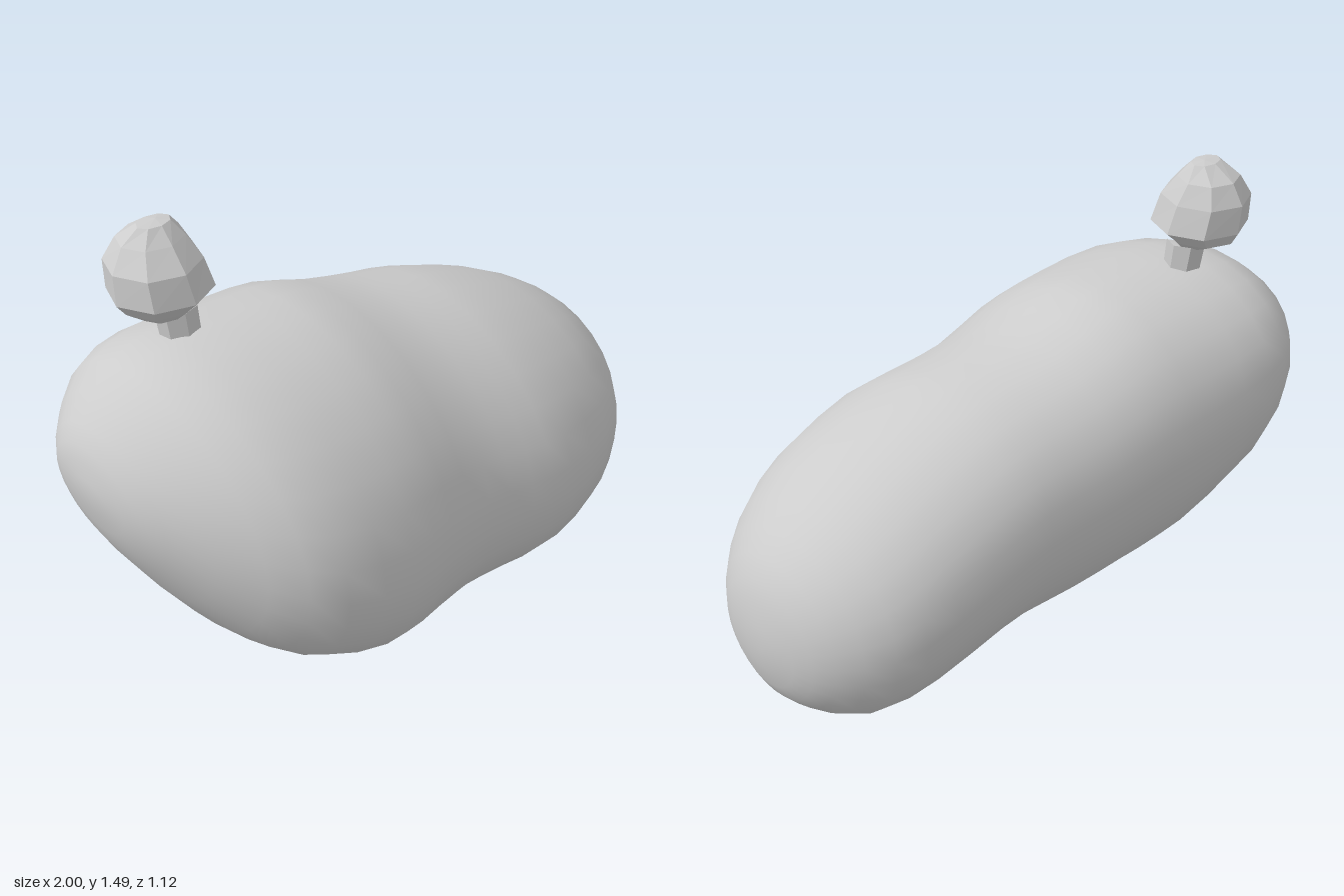
import * as THREE from 'three';
import { mergeVertices } from 'three/addons/utils/BufferGeometryUtils.js';

// Skins leaning elliptical sections. Each station: [a, bMin, bMax, cMin, cMax],
// where a runs along the axis and (a, b, c) is mapped to (x, y, z) by place().
function loft(stations, sides, rows, lean, place) {
  const curves = [1, 3].map((k) => new THREE.CatmullRomCurve3(
    stations.map((s) => new THREE.Vector3(s[0], s[k], s[k + 1])), false, 'catmullrom', 0.5));
  const position = [], index = [];
  for (let i = 0; i <= rows; i++) {
    const [b, c] = curves.map((curve) => curve.getPoint(i / rows));
    for (let j = 0; j < sides; j++) {
      const t = (j / sides) * Math.PI * 2;
      position.push(...place(
        b.x,
        (b.y + b.z) / 2 + ((b.z - b.y) / 2) * Math.sin(t - lean(i / rows)),
        (c.y + c.z) / 2 + ((c.z - c.y) / 2) * Math.cos(t)));
      if (i === rows) continue;
      const p = i * sides + j, q = i * sides + ((j + 1) % sides);
      index.push(p, p + sides, q, q, p + sides, q + sides);
    }
  }
  const geometry = new THREE.BufferGeometry();
  geometry.setAttribute('position', new THREE.Float32BufferAttribute(position, 3));
  geometry.setIndex(index);
  const merged = mergeVertices(geometry, 1e-5);
  merged.computeVertexNormals();
  return merged;
}

// Splits the faces so that each one is flat.
function faceted(geometry) {
  const flat = geometry.toNonIndexed();
  flat.computeVertexNormals();
  return flat;
}

export function createModel() {
  const group = new THREE.Group();
  const grey = new THREE.MeshStandardMaterial({ color: 0xcccccc });
  grey.name = 'grey';
  const add = (name, geometry) => {
    const mesh = new THREE.Mesh(geometry, grey);
    mesh.name = name;
    group.add(mesh);
  };

  // Lumpy two-lobed body: [x, bottom, top, back, front]
  const body = [
    [-1, 0.79, 0.79, -0.15, -0.15],
    [-0.985, 0.68, 0.88, -0.29, -0.02],
    [-0.94, 0.56, 0.97, -0.38, 0.11],
    [-0.8, 0.33, 1.1, -0.51, 0.36],
    [-0.63, 0.17, 1.145, -0.565, 0.505],
    [-0.38, 0.04, 1.145, -0.55, 0.535],
    [-0.2, 0.018, 1.13, -0.525, 0.52],
    [0, 0.018, 1.06, -0.495, 0.505],
    [0.18, 0.015, 1.02, -0.465, 0.53],
    [0.35, 0.008, 0.985, -0.445, 0.555],
    [0.6, 0, 0.89, -0.415, 0.51],
    [0.79, 0.035, 0.78, -0.36, 0.415],
    [0.92, 0.13, 0.66, -0.245, 0.29],
    [0.98, 0.23, 0.53, -0.12, 0.17],
    [1, 0.38, 0.38, 0.01, 0.01],
  ];
  // The lean fades out towards the lower end
  const bodyLean = (u) => 0.22 - 0.15 * THREE.MathUtils.smoothstep(u, 0.6, 0.8);
  add('body', loft(body, 28, 28, bodyLean, (x, y, z) => [x, y, z]));

  // Short stalk and faceted bud: [y, back, front, right, left]
  // (y, z, x) is a cyclic order, so the faces keep pointing outwards
  const upright = (y, z, x) => [x, y, z];
  const none = () => 0;
  const stalk = [
    [1.08, -0.25, -0.135, -0.65, -0.53],
    [1.22, -0.265, -0.14, -0.665, -0.535],
  ];
  add('stalk', faceted(loft(stalk, 7, 1, none, upright)));

  const bud = [
    [1.195, -0.21, -0.21, -0.63, -0.63],
    [1.205, -0.27, -0.155, -0.7, -0.565],
    [1.24, -0.345, -0.115, -0.75, -0.525],
    [1.285, -0.372, -0.07, -0.785, -0.475],
    [1.375, -0.372, -0.09, -0.78, -0.5],
    [1.44, -0.335, -0.145, -0.735, -0.535],
    [1.485, -0.265, -0.19, -0.685, -0.575],
    [1.49, -0.23, -0.23, -0.62, -0.62],
  ];
  add('bud', faceted(loft(bud, 8, bud.length - 1, none, upright)));
  return group;
}
